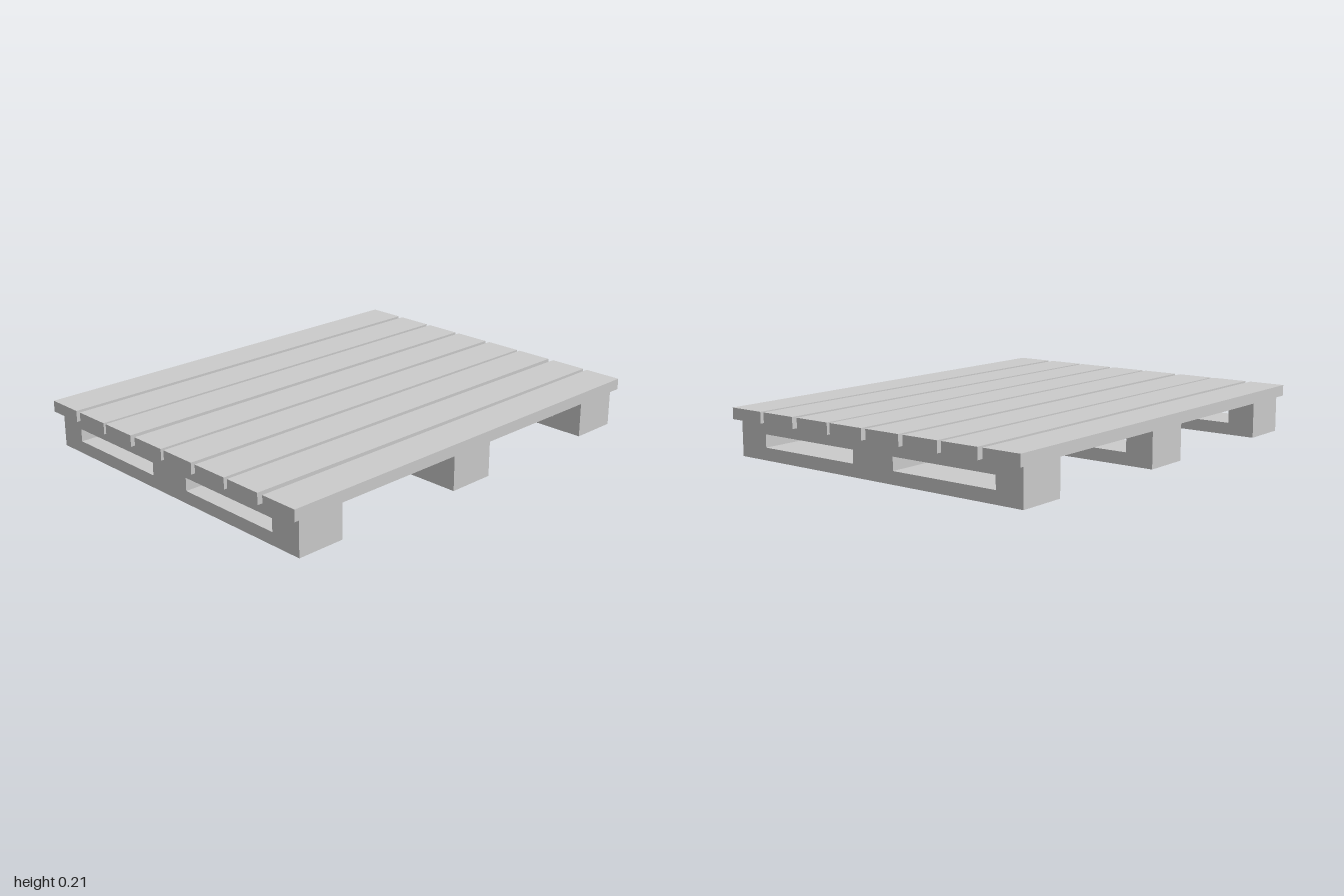
import * as THREE from 'three';

const material = new THREE.MeshStandardMaterial({ color: 0xcccccc, flatShading: true });

function rectangle(target, x0, x1, y0, y1) {
  target.moveTo(x0, y0);
  target.lineTo(x1, y0);
  target.lineTo(x1, y1);
  target.lineTo(x0, y1);
  target.closePath();
  return target;
}

// Cross beam with two fork slots cut straight through
function bearerGeometry(depth) {
  const shape = rectangle(new THREE.Shape(), -0.76, 0.757, 0, 0.163);
  for (const [x0, x1] of [[-0.632, -0.12], [0.096, 0.61]]) {
    shape.holes.push(rectangle(new THREE.Path(), x0, x1, 0.055, 0.112));
  }
  const geometry = new THREE.ExtrudeGeometry(shape, { depth, bevelEnabled: false });
  return geometry.translate(0, 0, -depth / 2);
}

export function createModel() {
  const group = new THREE.Group();

  // Three bearers: back, middle, front
  const bearer = bearerGeometry(0.22);
  ['backBearer', 'middleBearer', 'frontBearer'].forEach((name, i) => {
    const mesh = new THREE.Mesh(bearer, material);
    mesh.name = name;
    mesh.position.z = (i - 1) * 0.85;
    group.add(mesh);
  });

  // Deck planks, each laid very slightly askew: [centre x, yaw]
  const planks = [
    [-0.688, 0], [-0.489, 0.001], [-0.297, -0.002], [-0.098, 0.001],
    [0.097, -0.002], [0.291, 0.002], [0.488, -0.002], [0.686, 0.002],
  ];
  const plank = new THREE.BoxGeometry(0.174, 0.05, 1.994);
  planks.forEach(([x, yaw], i) => {
    const mesh = new THREE.Mesh(plank, material);
    mesh.name = `deckPlank${i + 1}`;
    mesh.position.set(x, 0.189, 0);
    mesh.rotation.y = yaw;
    group.add(mesh);
  });

  return group;
}
